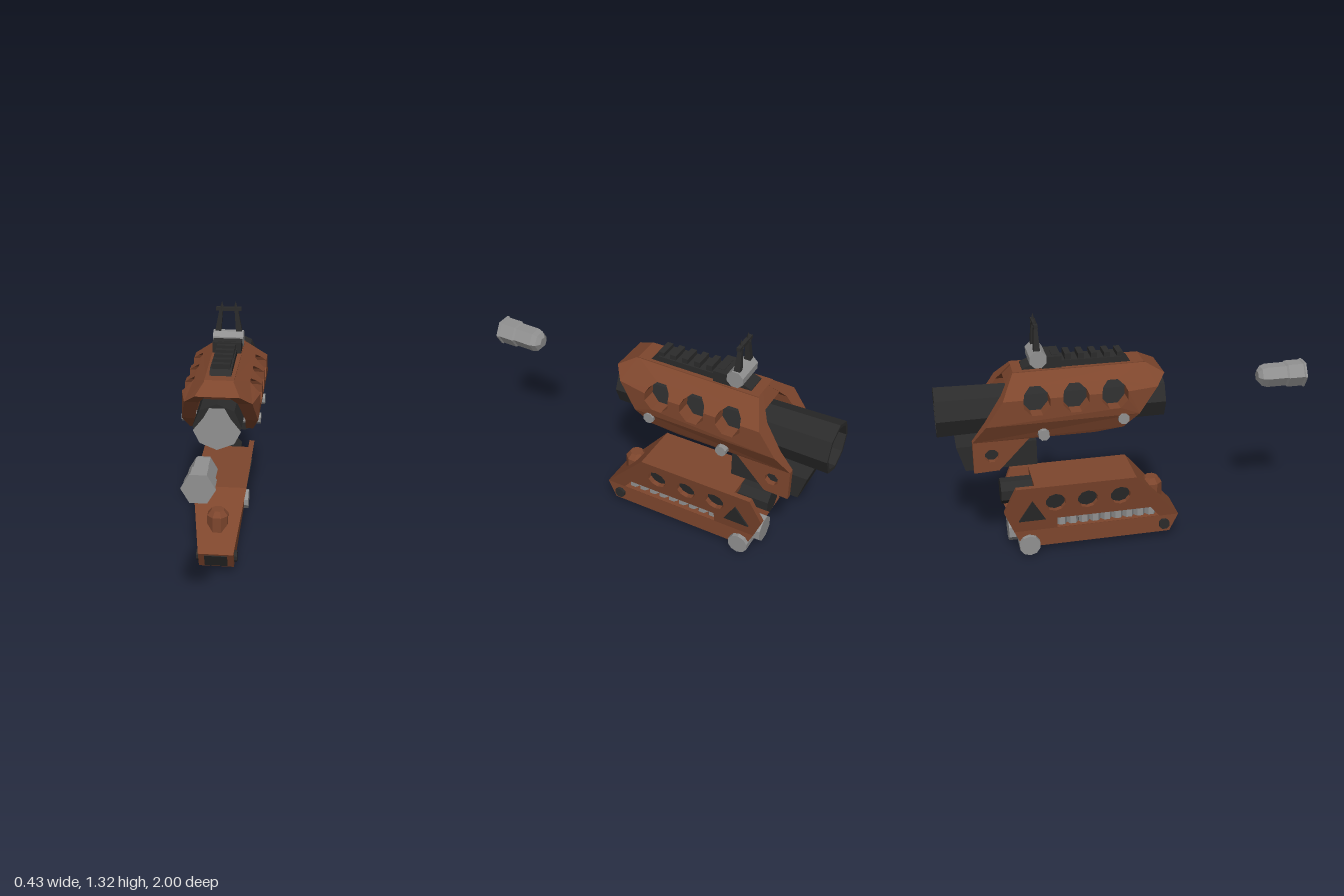
import * as THREE from 'three';

const mat = (name, color) => Object.assign(new THREE.MeshStandardMaterial({ color }), { name });

export function createModel() {
  const root = new THREE.Group();
  const brown = mat('brown wood', 0x7e462d);
  const dark = mat('dark metal', 0x2b2b2b);
  const grey = mat('grey metal', 0x919191);

  // Adds a faceted mesh
  function add(name, geo, material, parent = root) {
    const g = geo.index ? geo.toNonIndexed() : geo;
    g.computeVertexNormals();
    const mesh = new THREE.Mesh(g, material);
    mesh.name = name;
    parent.add(mesh);
    return mesh;
  }
  const vec = (pts) => pts.map(([a, b]) => new THREE.Vector2(a, b));

  // Plate drawn in side profile (z, y); its inner and outer x follow rules of y and z
  function plate(name, pts, material, outer, inner, holes = [], sides = [1, -1]) {
    for (const s of sides) {
      const shape = new THREE.Shape(vec(pts));
      shape.holes = holes.map((h) => new THREE.Path(vec(h)));
      const g = new THREE.ExtrudeGeometry(shape, { depth: 1, bevelEnabled: false });
      const p = g.attributes.position;
      for (let i = 0; i < p.count; i++) {
        const z = p.getX(i), y = p.getY(i), t = p.getZ(i);
        const a = inner(y, z), b = outer(y, z);
        p.setXYZ(i, s * (a + (b - a) * t), y, z);
      }
      if (s > 0) {
        for (let i = 0; i < p.count; i += 3) {
          const b = new THREE.Vector3().fromBufferAttribute(p, i + 1);
          const c = new THREE.Vector3().fromBufferAttribute(p, i + 2);
          p.setXYZ(i + 1, c.x, c.y, c.z);
          p.setXYZ(i + 2, b.x, b.y, b.z);
        }
      }
      add(name, g, material);
    }
  }
  // Plate running the full width
  const block = (name, pts, material, w) =>
    plate(name, pts, material, w, (y, z) => -w(y, z), [], [1]);
  const ring = (z, y, r, n = 8) => Array.from({ length: n }, (_, i) => {
    const a = ((i + 0.5) / n) * Math.PI * 2;
    return [z + Math.cos(a) * r, y + Math.sin(a) * r];
  });
  // Solid of revolution along z, listed as [radius, z]
  function turned(name, pts, y, sides, material, turn = 0) {
    const g = new THREE.LatheGeometry(vec(pts), sides, turn);
    g.rotateX(Math.PI / 2).translate(0, y, 0);
    return add(name, g, material);
  }
  // Pin across the model
  const pin = (name, r, w, y, z, material, sides = 8) =>
    add(name, new THREE.CylinderGeometry(r, r, w, sides, 1, false, Math.PI / sides)
      .rotateZ(Math.PI / 2).translate(0, y, z), material);
  const box = (name, w, h, d, x, y, z, material) =>
    add(name, new THREE.BoxGeometry(w, h, d).translate(x, y, z), material);

  // Loose round
  turned('round', [[0, 0.735], [0.03, 0.735], [0.055, 0.755], [0.065, 0.785], [0.065, 0.89],
    [0.073, 0.9], [0.073, 0.985], [0.079, 0.99], [0.079, 1], [0, 1]], 0.885, 6, grey, Math.PI / 6);

  // Barrel, hollow at the rear
  turned('barrel', [[0, -0.75], [0.11, -0.75], [0.117, -1], [0.137, -1], [0.129, -0.6],
    [0.127, 0.19], [0, 0.19]], 0.84, 8, dark);
  const cap = [[0, 0.713], [0.09, 0.75], [0.125, 0.82], [0.07, 0.89], [0.04, 0.945],
    [-0.04, 0.945], [-0.07, 0.89], [-0.125, 0.82], [-0.09, 0.75]];
  add('barrelCap', new THREE.ShapeGeometry(new THREE.Shape(vec(cap))).translate(0, 0, 0.193), grey);

  // Shroud: bands stacked from the rear legs to the roof
  const taper = (z) => 1 - 1.2 * Math.max(0, z);
  const slope = (y0, x0, y1, x1) => (y, z) => (x0 + ((x1 - x0) * (y - y0)) / (y1 - y0)) * taper(z);
  const vents = [-0.5, -0.3, -0.1];
  const notches = (half) => vents.flatMap((c) => half.map(([dz, y]) => [c + dz, y]));
  plate('shroudShoulder', [[-0.67, 0.95],
    ...notches([[-0.067, 0.95], [-0.058, 0.972], [-0.026, 0.998], [0.026, 0.998], [0.058, 0.972], [0.067, 0.95]]),
    [0.13, 0.95], [0.18, 1.0], [0.08, 1.055], [-0.6, 1.055]],
  brown, slope(0.95, 0.21, 1.055, 0.08), slope(0.95, 0.12, 1.055, 0.03));
  plate('shroudSide', [[-0.76, 0.82], [0.03, 0.82], [0.13, 0.95],
    ...notches([[-0.067, 0.95], [-0.067, 0.905], [-0.028, 0.862], [0.028, 0.862], [0.067, 0.905], [0.067, 0.95]])
      .reverse(),
    [-0.67, 0.95]],
  brown, slope(0.82, 0.21, 0.95, 0.21), slope(0.82, 0.14, 0.95, 0.12));
  plate('shroudSkirt', [[-0.83, 0.72], [-0.2, 0.72], [-0.05, 0.74], [0.03, 0.82], [-0.76, 0.82]],
    brown, slope(0.72, 0.162, 0.82, 0.21), slope(0.72, 0.13, 0.82, 0.14));
  plate('shroudLeg', [[-0.83, 0.55], [-0.7, 0.555], [-0.54, 0.72], [-0.83, 0.72]],
    brown, () => 0.162, () => 0.13, [ring(-0.735, 0.64, 0.037)]);
  block('shroudRoof', [[-0.64, 0.99], [0.17, 0.985], [0.18, 1.0], [0.08, 1.055], [-0.6, 1.055]],
    brown, (y, z) => 0.085 * taper(z));
  pin('frontPin', 0.03, 0.425, 0.8, -0.055, grey);
  pin('rearPin', 0.03, 0.425, 0.75, -0.47, grey);

  // Dark housing between the legs
  block('housing', [[-0.87, 0.555], [-0.5, 0.555], [-0.5, 0.69], [-0.91, 0.69]], dark, () => 0.131);
  block('housingBase', [[-0.868, 0.541], [-0.5, 0.541], [-0.5, 0.556], [-0.87, 0.556]], dark,
    (y) => (y < 0.55 ? 0.1 : 0.131));

  // Top rail with teeth
  block('rail', [[-0.55, 1.05], [0.02, 1.05], [-0.03, 1.085], [-0.47, 1.09], [-0.55, 1.06]], dark, () => 0.058);
  for (let i = 0; i < 6; i++) box('railTooth', 0.1, 0.035, 0.032, 0, 1.09 + i * 0.003, -0.04 - i * 0.068, dark);
  box('sightBlock', 0.16, 0.06, 0.1, 0, 1.09, -0.4, dark);

  // Sight
  pin('sightBarrel', 0.047, 0.17, 1.11, -0.47, grey);
  for (const s of [1, -1]) {
    const post = new THREE.CylinderGeometry(0.013, 0.024, 0.14, 4, 1, false, Math.PI / 4);
    add('sightPost', post.rotateZ(s * 0.13).translate(s * 0.05, 1.215, -0.473), dark);
    add('sightSpike', new THREE.ConeGeometry(0.015, 0.05, 4).translate(s * 0.038, 1.295, -0.473), dark);
  }
  box('sightBar', 0.14, 0.02, 0.02, 0, 1.278, -0.473, dark);

  // Magazine shell, wider towards the top
  const magW = (y) => 0.095 + 0.05 * Math.max(0, (y - 0.14) / 0.28);
  const magIn = (y) => magW(y) - 0.03;
  plate('magazineSide', [[-0.635, 0.14], [0.28, 0.14], [0.03, 0.42], [-0.62, 0.42], [-0.685, 0.27]],
    brown, magW, magIn, [
      ...[-0.055, -0.235, -0.41].map((z) => ring(z, 0.312, 0.056, 10)),
      [[-0.4, 0.142], [0.17, 0.142], [0.12, 0.207], [-0.4, 0.207]],
    ]);
  plate('magazineFoot', [[-0.59, 0.04], [0.23, 0.04], [0.28, 0.14], [-0.635, 0.14]], brown, magW, magIn);
  block('magazineFloor', [[-0.5, 0.04], [0.23, 0.04], [0.28, 0.14], [-0.5, 0.14]], brown, magW);
  block('magazineTop', [[-0.52, 0.39], [0.05, 0.39], [0.03, 0.42], [-0.52, 0.42]], brown, magW);
  block('magazineFront', [[0.24, 0.14], [0.28, 0.14], [0.03, 0.42], [-0.01, 0.42]], brown, magW);
  block('magazineCore', [[-0.5, 0.14], [0.22, 0.14], [0, 0.395], [-0.5, 0.395]], dark, (y) => magW(y) - 0.055);

  // Rounds seen through the side slots
  for (const s of [1, -1]) {
    for (let i = 0; i < 9; i++) {
      add('storedRound', new THREE.CylinderGeometry(0.031, 0.031, 0.08, 6)
        .translate(s * 0.045, 0.175, 0.13 - i * 0.0625), grey);
    }
  }

  // Magazine fittings
  plate('sideTriangle', [[-0.61, 0.21], [-0.465, 0.21], [-0.535, 0.337]], dark,
    (y) => magW(y) + 0.009, (y) => magW(y) - 0.035);
  block('frontPlate', [[0.229, 0.052], [0.239, 0.048], [0.279, 0.128], [0.269, 0.132]], dark, () => 0.062);
  pin('frontHinge', 0.031, 0.222, 0.09, 0.198, dark);
  pin('rearHinge', 0.058, 0.238, 0.058, -0.555, grey, 10);
  add('frontKnob', new THREE.LatheGeometry(vec([[0, 0.2], [0.06, 0.2], [0.06, 0.315], [0.036, 0.345], [0, 0.345]]),
    8, Math.PI / 8).translate(0, 0, 0.145), brown);
  turned('rearTube', [[0, -0.69], [0.07, -0.69], [0.07, -0.49], [0, -0.49]], 0.35, 8, dark, Math.PI / 8);
  turned('rearPlug', [[0, -0.66], [0.075, -0.66], [0.075, -0.49], [0, -0.49]], 0.125, 8, grey, Math.PI / 8);

  return root;
}
